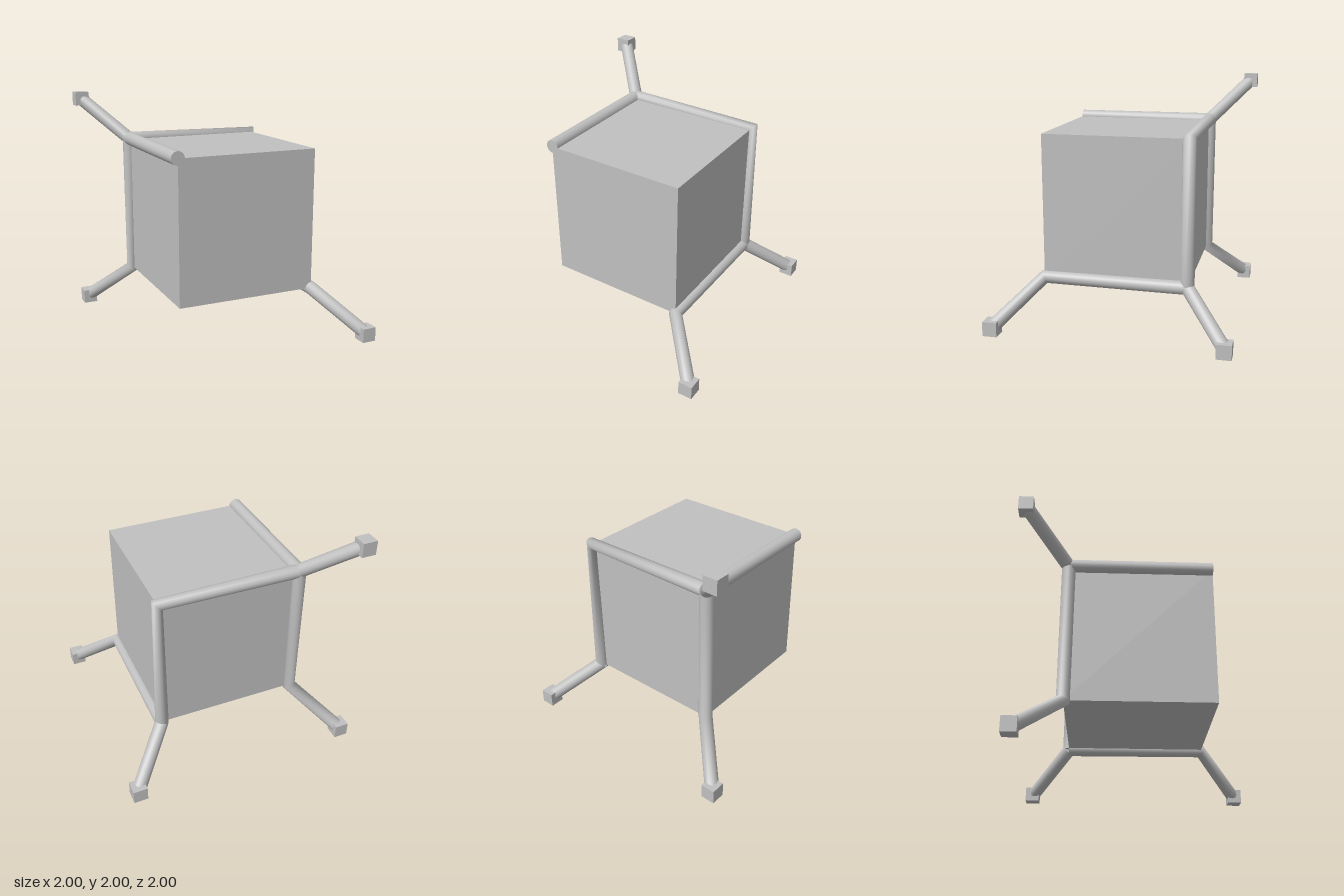
import * as THREE from 'three';

const RADIUS = 0.057;
const SIDES = 16;

// Pipe swept along straight runs; each joint shares one ring set on the bisector
function pipeGeometry(path) {
  const pts = path.map((p) => new THREE.Vector3(...p));
  const dirs = pts.slice(1).map((p, i) => p.clone().sub(pts[i]).normalize());
  const pos = [];
  const idx = [];
  const u = new THREE.Vector3();
  const v = new THREE.Vector3();
  const last = pts.length - 1;
  // starting side vector, carried along the path
  u.set(0.31, 0.53, 0.79);
  const rings = pts.map((p, i) => {
    const t = dirs[Math.max(i - 1, 0)].clone().add(dirs[Math.min(i, last - 1)]).normalize();
    u.addScaledVector(t, -u.dot(t)).normalize();
    v.crossVectors(t, u);
    const ring = [];
    for (let k = 0; k < SIDES; k++) {
      const a = (k / SIDES) * Math.PI * 2;
      ring.push(p.clone().addScaledVector(u, Math.cos(a) * RADIUS).addScaledVector(v, Math.sin(a) * RADIUS));
    }
    return ring;
  });
  rings.forEach((ring) => ring.forEach((q) => pos.push(q.x, q.y, q.z)));
  for (let i = 0; i < last; i++) {
    for (let k = 0; k < SIDES; k++) {
      const a = i * SIDES + k;
      const b = i * SIDES + ((k + 1) % SIDES);
      idx.push(a, b, b + SIDES, a, b + SIDES, a + SIDES);
    }
  }
  // flat end caps with their own vertices
  for (const end of [0, last]) {
    const base = pos.length / 3;
    rings[end].forEach((q) => pos.push(q.x, q.y, q.z));
    for (let k = 1; k < SIDES - 1; k++) {
      if (end === 0) idx.push(base, base + k + 1, base + k);
      else idx.push(base, base + k, base + k + 1);
    }
  }
  const geo = new THREE.BufferGeometry();
  geo.setAttribute('position', new THREE.Float32BufferAttribute(pos, 3));
  geo.setIndex(idx);
  geo.computeVertexNormals();
  return geo;
}

export function createModel() {
  const model = new THREE.Group();
  model.name = 'cubeWithPipes';
  const grey = new THREE.MeshStandardMaterial({ color: 0xc0c0c0 });
  grey.name = 'light grey';

  const add = (name, geometry, position = [0, 0, 0]) => {
    const mesh = new THREE.Mesh(geometry, grey);
    mesh.name = name;
    mesh.position.set(...position);
    model.add(mesh);
  };

  // Main body
  add('body', new THREE.BoxGeometry(1.2, 1.2, 1.2), [0, 1, 0]);

  // Body corners (c) and outer block centres (o), given by signs
  const c = (x, y, z) => [x * 0.6, 1 + y * 0.6, z * 0.6];
  const o = (x, y, z) => [x * 0.94, 1 + y * 0.94, z * 0.94];

  // Pipes along the edges and out to the blocks
  const pipes = {
    topSidePipe: [c(-1, 1, 1), c(-1, 1, -1)],
    backFramePipe: [c(-1, 1, -1), c(1, 1, -1), c(1, -1, -1)],
    backCornerPipe: [c(-1, 1, -1), c(-1, -1, -1), o(-1, -1, -1)],
    bottomSidePipe: [c(1, -1, -1), c(1, -1, 1), o(1, -1, 1)],
    topStrut: [c(-1, 1, -1), o(-1, 1, -1)],
    backStrut: [c(1, -1, -1), o(1, -1, -1)],
  };
  for (const [name, path] of Object.entries(pipes)) add(name, pipeGeometry(path));

  // Small blocks at the strut ends
  const blocks = {
    topBlock: o(-1, 1, -1),
    backRightBlock: o(-1, -1, -1),
    backLeftBlock: o(1, -1, -1),
    frontLeftBlock: o(1, -1, 1),
  };
  const blockGeometry = new THREE.BoxGeometry(0.12, 0.12, 0.12);
  for (const [name, position] of Object.entries(blocks)) add(name, blockGeometry, position);

  return model;
}
